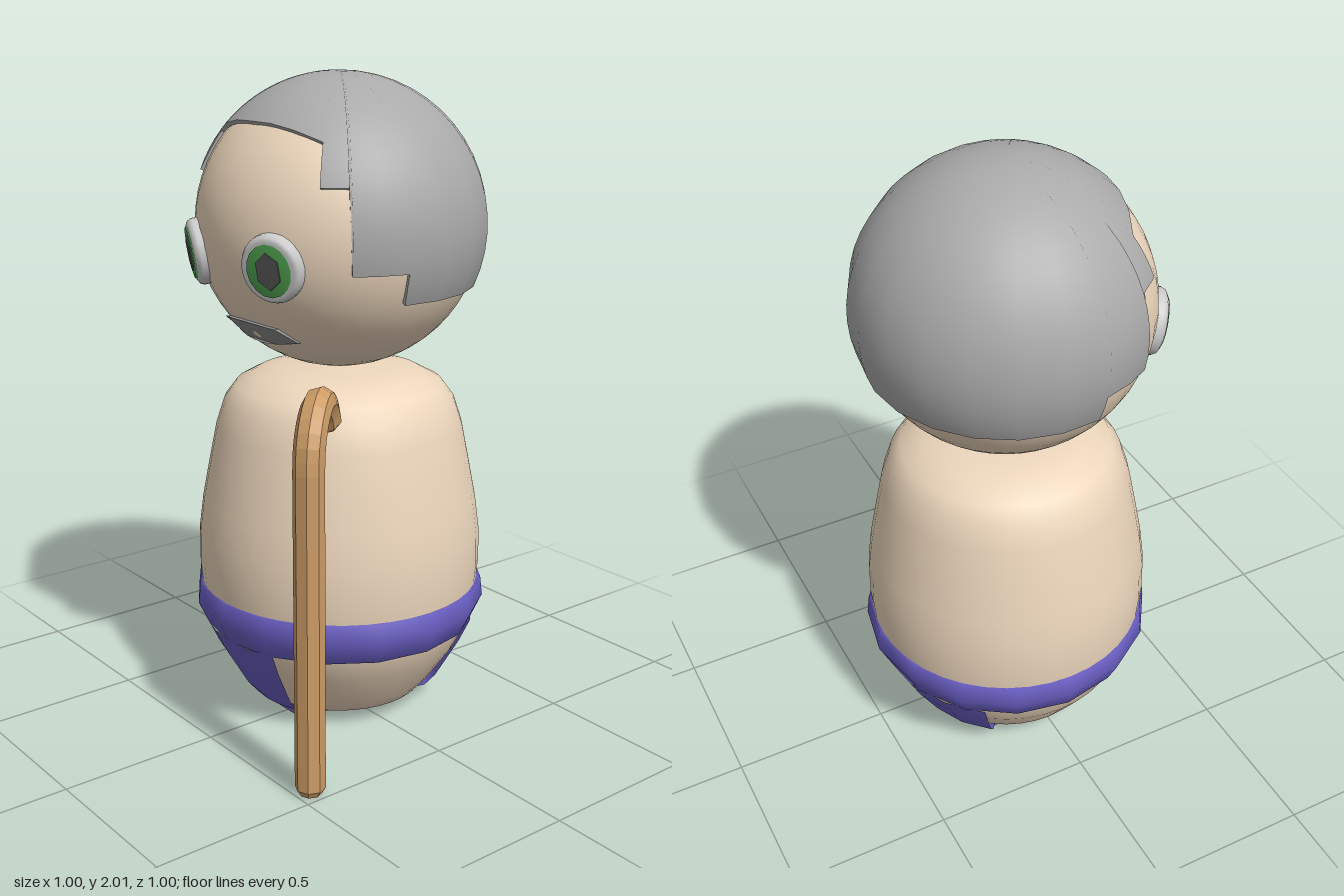
import * as THREE from 'three';

const rad = THREE.MathUtils.degToRad;
const HEAD_Y = 1.55;

function mat(color, extra = {}) {
  return new THREE.MeshStandardMaterial({ color, side: THREE.DoubleSide, ...extra });
}

function add(parent, name, geometry, material) {
  const mesh = new THREE.Mesh(geometry, material);
  mesh.name = name;
  parent.add(mesh);
  return mesh;
}

// Lathe from [radius, y] pairs, limited to a sector centred on the angle "mid" (0 = front)
function lathe(points, segments, mid = 0, half = 180) {
  const profile = points.map(([r, y]) => new THREE.Vector2(r, y));
  return new THREE.LatheGeometry(profile, segments, rad(mid - half), rad(2 * half));
}

// Hairline: [azimuth from the front, height] with steps at the temples and ears
const hairline = [[0, 1.87], [15, 1.868], [30, 1.853], [44.5, 1.825], [44.5, 1.705],
  [55.5, 1.705], [56.5, 1.46], [67, 1.46], [78.5, 1.46], [78.5, 1.365],
  [95, 1.365], [112, 1.365], [129, 1.367], [146, 1.37], [163, 1.37], [180, 1.37]];

// Spherical cap whose lower edge follows the hairline, with a rim closing its thickness
function hairGeometries(outer, inner, rows) {
  const edge = [...hairline.slice(1).reverse().map(([a, y]) => [-a, y]), ...hairline];
  const at = (r, theta, phi) => [r * Math.sin(theta) * Math.sin(phi), r * Math.cos(theta),
    r * Math.sin(theta) * Math.cos(phi)];
  const position = [], normal = [], index = [], rim = [], rimIndex = [];
  edge.forEach(([a, y], i) => {
    const end = Math.acos((y - HEAD_Y) / outer);
    for (let j = 0; j <= rows; j++) {
      position.push(...at(outer, end * j / rows, rad(a)));
      normal.push(...at(1, end * j / rows, rad(a)));
      if (i && j) {
        const c = i * (rows + 1) + j, p = c - rows - 1;
        index.push(p - 1, p, c, p - 1, c, c - 1);
      }
    }
    rim.push(...at(outer, end, rad(a)), ...at(inner, end, rad(a)));
    if (i) rimIndex.push(2 * i - 2, 2 * i - 1, 2 * i + 1, 2 * i - 2, 2 * i + 1, 2 * i);
  });
  const cap = new THREE.BufferGeometry();
  cap.setAttribute('position', new THREE.Float32BufferAttribute(position, 3));
  cap.setAttribute('normal', new THREE.Float32BufferAttribute(normal, 3));
  cap.setIndex(index);
  let band = new THREE.BufferGeometry();
  band.setAttribute('position', new THREE.Float32BufferAttribute(rim, 3));
  band.setIndex(rimIndex);
  band = band.toNonIndexed();
  band.computeVertexNormals();
  return [cap, band];
}

// Flat plate bent onto the front of the head
function mouthGeometry() {
  const top = [], bottom = [];
  for (let i = -4; i <= 4; i++) {
    const t = i / 4;
    top.push(new THREE.Vector2(0.125 * t, 1.293 - 0.012 * t * t - HEAD_Y));
    bottom.unshift(new THREE.Vector2(0.157 * t, 1.217 + 0.02 * t * t - HEAD_Y));
  }
  const g = new THREE.ExtrudeGeometry(new THREE.Shape([...top, ...bottom]),
    { depth: 0.035, bevelEnabled: false });
  const p = g.attributes.position;
  for (let i = 0; i < p.count; i++) {
    const x = p.getX(i), y = p.getY(i);
    p.setZ(i, Math.sqrt(0.425 ** 2 - x * x - y * y) + p.getZ(i));
  }
  g.computeVertexNormals();
  return g;
}

// Eye facing +z: rounded white with an iris and a pupil on top
function makeEye(name) {
  const eye = new THREE.Group();
  eye.name = name;
  const disc = (part, pts, sx, sy, segments, color, flatShading = false) => {
    const g = lathe(pts, segments).rotateX(Math.PI / 2).scale(sx, sy, 1);
    add(eye, part, g, mat(color, { flatShading }));
  };
  disc('eyeWhite', [[1, -0.035], [1, 0.008], [0.94, 0.02], [0.82, 0.027], [0, 0.029]],
    0.097, 0.102, 28, 0xcccccc);
  disc('iris', [[1, 0.02], [0.98, 0.031], [0, 0.032]], 0.071, 0.08, 16, 0x4fa04f);
  disc('pupil', [[1, 0.025], [0.97, 0.035], [0, 0.036]], 0.042, 0.057, 6, 0x555555, true);
  return eye;
}

export function createModel() {
  const model = new THREE.Group();
  model.name = 'figure';
  const figure = new THREE.Group();
  figure.name = 'body';
  figure.position.set(-0.035, 0, -0.035);
  model.add(figure);

  const skin = mat(0xecd6bc);
  const cloth = mat(0x6a5fc4);
  const hair = mat(0xaaaaaa);
  const wood = mat(0xcc9c66, { flatShading: true });

  // Torso
  add(figure, 'torso', lathe([[0, 0.02], [0.2, 0.025], [0.27, 0.045], [0.31, 0.09],
    [0.385, 0.2], [0.42, 0.28], [0.44, 0.36], [0.45, 0.48], [0.448, 0.58], [0.435, 0.68],
    [0.412, 0.8], [0.388, 0.92], [0.362, 1.0], [0.325, 1.05], [0.26, 1.085],
    [0.18, 1.105], [0, 1.115]], 40), skin);

  // Loincloth: waistband, front and back flaps, and the strip joining them underneath
  add(figure, 'waistband', lathe([[0.415, 0.28], [0.433, 0.28], [0.465, 0.35],
    [0.458, 0.412], [0.44, 0.412]], 16), cloth);
  const flap = [[0, 0.011], [0.21, 0.014], [0.29, 0.04], [0.325, 0.08], [0.4, 0.21], [0.435, 0.285]];
  add(figure, 'frontFlap', lathe(flap, 4, 0, 24), cloth);
  add(figure, 'backFlap', lathe(flap, 6, 180, 54), cloth);
  const strip = new THREE.Shape([[-0.115, 0.25], [0.115, 0.25], [0.2, -0.15], [-0.2, -0.15]]
    .map(([x, z]) => new THREE.Vector2(x, z)));
  add(figure, 'crotchStrip', new THREE.ExtrudeGeometry(strip, { depth: 0.03, bevelEnabled: false })
    .rotateX(Math.PI / 2).translate(0, 0.04, 0), cloth);

  // Head, hair and mouth
  const head = new THREE.Group();
  head.name = 'head';
  head.position.y = HEAD_Y;
  figure.add(head);
  add(head, 'face', new THREE.SphereGeometry(0.44, 40, 28), skin);
  const [cap, rim] = hairGeometries(0.455, 0.432, 16);
  add(head, 'hair', cap, hair);
  add(head, 'hairRim', rim, hair);
  add(head, 'mouth', mouthGeometry(), mat(0x8c8c8c));

  // Eyes, turned outwards to follow the head
  for (const side of [1, -1]) {
    const eye = makeEye(side > 0 ? 'leftEye' : 'rightEye');
    const out = new THREE.Vector3(side * 0.19, -0.075, 0.39).normalize();
    eye.position.copy(out).multiplyScalar(0.435);
    eye.quaternion.setFromUnitVectors(new THREE.Vector3(0, 0, 1), out);
    eye.rotation.z = 0;
    head.add(eye);
  }

  // Walking cane with a hooked handle
  const cane = new THREE.Group();
  cane.name = 'cane';
  model.add(cane);
  const foot = new THREE.Vector3(0.452, 0.02, 0.455);
  const hook = [[0.452, 0.98, 0.455], [0.444, 1.045, 0.445], [0.42, 1.1, 0.415], [0.385, 1.13, 0.373],
    [0.35, 1.125, 0.332], [0.325, 1.095, 0.302], [0.308, 1.055, 0.282]]
    .map((p) => new THREE.Vector3(...p));
  const path = new THREE.CurvePath();
  path.add(new THREE.LineCurve3(foot, hook[0]));
  path.add(new THREE.CatmullRomCurve3(hook));
  add(cane, 'caneShaft', new THREE.TubeGeometry(path, 40, 0.045, 8), wood);
  const up = new THREE.Vector3(0, 1, 0);
  for (const [name, t, sign] of [['caneFoot', 0, -1], ['caneTip', 1, 1]]) {
    const end = add(cane, name, new THREE.CylinderGeometry(0.033, 0.045, 0.02, 8).translate(0, 0.01, 0), wood);
    end.position.copy(path.getPointAt(t));
    end.quaternion.setFromUnitVectors(up, path.getTangentAt(t).multiplyScalar(sign).normalize());
  }
  return model;
}
